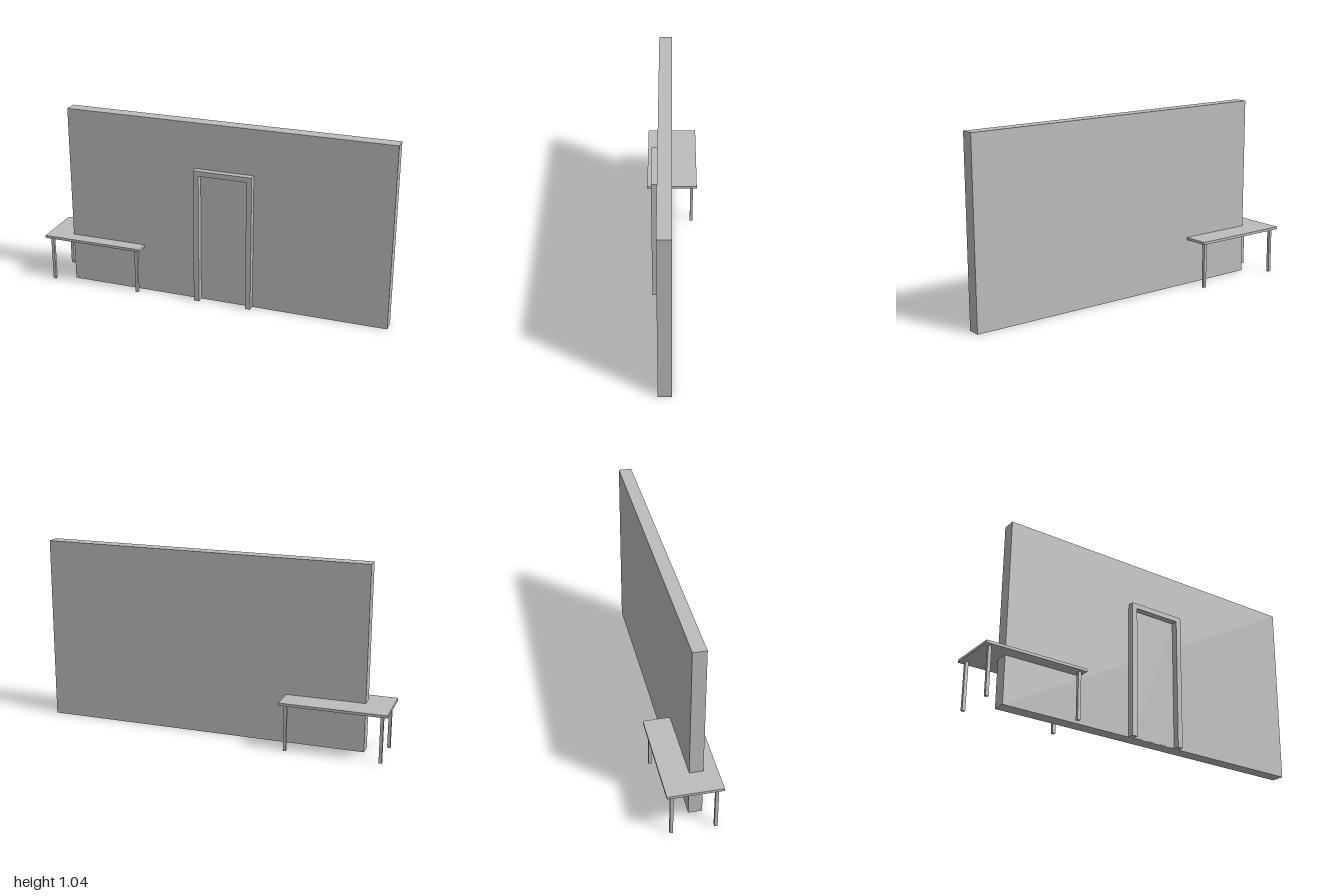
import * as THREE from 'three';

const grey = new THREE.MeshStandardMaterial({ color: 0xbcbcbc });
grey.name = 'plain grey';

// Box given by its minimum and maximum corners
function box(name, [x0, y0, z0], [x1, y1, z1]) {
  const mesh = new THREE.Mesh(new THREE.BoxGeometry(x1 - x0, y1 - y0, z1 - z0), grey);
  mesh.position.set((x0 + x1) / 2, (y0 + y1) / 2, (z0 + z1) / 2);
  mesh.name = name;
  return mesh;
}

// Upright door surround, open at the bottom
function createDoorFrame() {
  const shape = new THREE.Shape();
  [[-0.097, 0], [-0.066, 0], [-0.066, 0.752], [0.207, 0.752], [0.207, 0], [0.237, 0],
    [0.237, 0.781], [-0.097, 0.781]].forEach(([x, y], i) => (i ? shape.lineTo(x, y) : shape.moveTo(x, y)));
  shape.closePath();
  const frame = new THREE.Mesh(new THREE.ExtrudeGeometry(shape, { depth: 0.037, bevelEnabled: false }), grey);
  frame.position.z = 0.074;
  frame.name = 'doorFrame';
  return frame;
}

// Thin table top on four square legs
function createTable() {
  const table = new THREE.Group();
  table.name = 'table';
  table.add(box('tableTop', [-0.295, 0.265, -0.148], [0.295, 0.28, 0.148]));
  const half = 0.0085;
  for (const sx of [-1, 1]) {
    for (const sz of [-1, 1]) {
      const x = sx * 0.263, z = sz * 0.117;
      table.add(box('tableLeg', [x - half, 0, z - half], [x + half, 0.265, z + half]));
    }
  }
  table.position.x = -0.705;
  return table;
}

export function createModel() {
  const model = new THREE.Group();
  model.name = 'wallWithDoorAndTable';
  model.add(box('wall', [-0.854, 0, 0], [1, 1.04, 0.074]));
  model.add(createDoorFrame());
  // Door leaf, almost flush with the wall
  model.add(box('door', [-0.063, 0.004, 0.072], [0.204, 0.749, 0.075]));
  model.add(createTable());
  return model;
}
